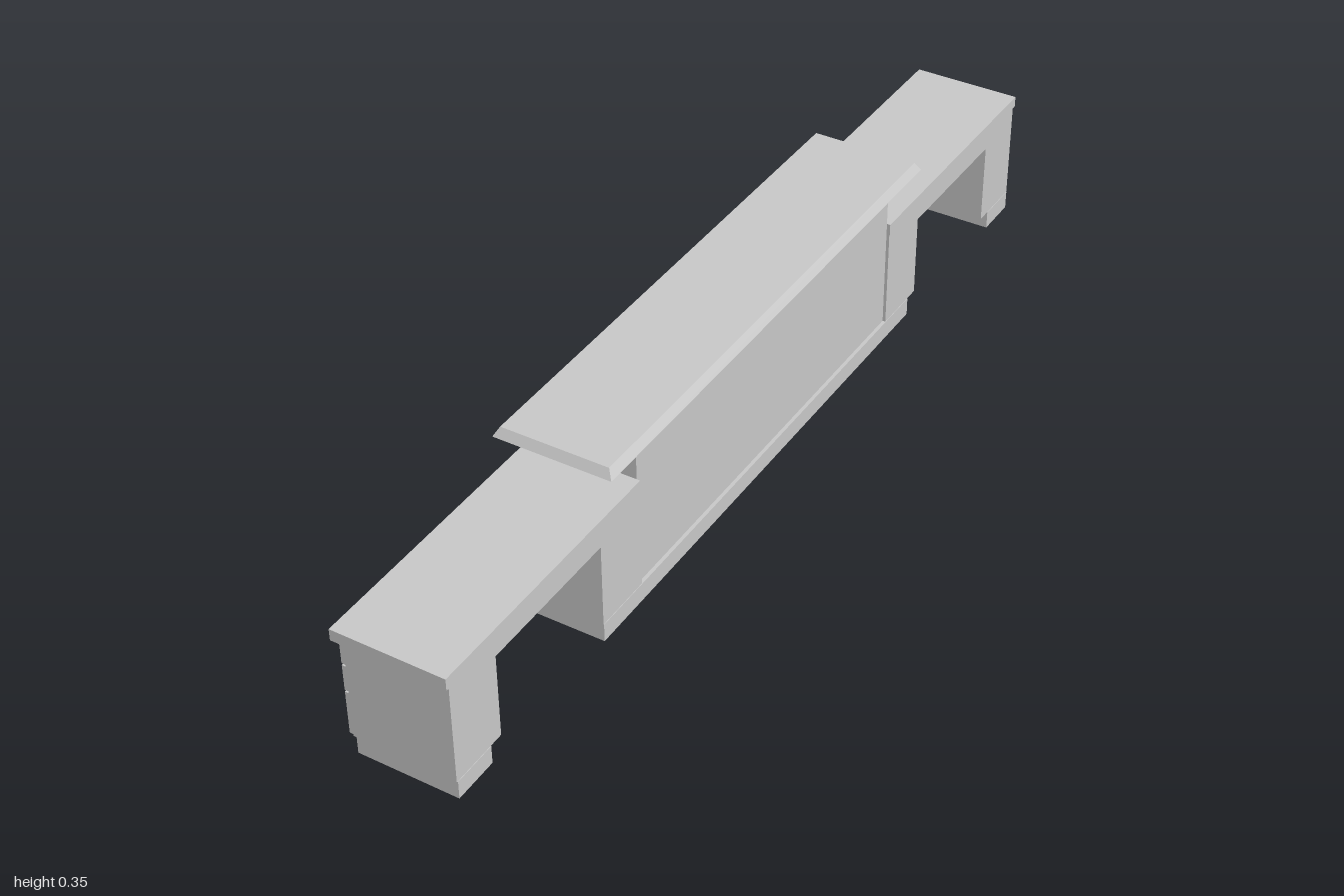
import * as THREE from 'three';

const grey = new THREE.MeshStandardMaterial({ color: 0xcccccc, flatShading: true });

export function createModel() {
  const root = new THREE.Group();

  // box given by its limits on each axis
  function box(name, x0, x1, y0, y1, z0, z1, parent = root) {
    const mesh = new THREE.Mesh(new THREE.BoxGeometry(x1 - x0, y1 - y0, Math.abs(z1 - z0)), grey);
    mesh.position.set((x0 + x1) / 2, (y0 + y1) / 2, (z0 + z1) / 2);
    mesh.name = name;
    parent.add(mesh);
  }

  const kickTop = 0.037, deskTop = 0.263, slabBottom = 0.24, barBottom = 0.335, barTop = 0.353;
  const faceX = -0.107, caseX = -0.097, backX = 0.104;

  // three stacked drawers with small pulls
  function drawerStack(z0, z1) {
    const group = new THREE.Group();
    group.name = 'drawerStack';
    const lo = Math.min(z0, z1) + 0.003, hi = Math.max(z0, z1) - 0.003, mid = (lo + hi) / 2;
    [[kickTop, 0.127], [0.131, 0.184], [0.188, slabBottom]].forEach(([a, b]) => {
      box('drawerFront', faceX, caseX, a, b, lo, hi, group);
      const y = b - 0.021;
      box('drawerPull', -0.1125, faceX, y - 0.004, y + 0.004, mid - 0.009, mid + 0.009, group);
    });
    root.add(group);
  }

  // desk wing at each end: slab, apron, outer pedestal and inner drawer cabinet
  for (const s of [1, -1]) {
    box('deskSlab', -0.116, 0.105, slabBottom, deskTop, s * 0.447, s);
    box('kneeApron', caseX, backX, 0.207, slabBottom, s * 0.569, s * 0.871);
    box('pedestal', caseX, backX, kickTop, slabBottom, s * 0.871, s * 0.993);
    box('pedestalPlinth', -0.093, 0.105, 0, kickTop, s * 0.9, s * 0.991);
    drawerStack(s * 0.871, s * 0.993);
    box('innerCabinet', caseX, backX, kickTop, slabBottom, s * 0.447, s * 0.569);
    drawerStack(s * 0.447, s * 0.569);
  }

  // tall central cabinet on its plinth
  box('centrePlinth', -0.093, 0.105, 0, kickTop, -0.539, 0.569);
  box('tallCabinet', caseX, 0.098, kickTop, barBottom, -0.447, 0.447);

  // four pairs of doors between upright dividers
  const bay = 0.894 / 4;
  for (let i = 0; i <= 4; i++) {
    const z = THREE.MathUtils.clamp(-0.447 + i * bay, -0.441, 0.441);
    box('divider', -0.118, caseX, kickTop, barBottom, z - 0.006, z + 0.006);
  }
  for (let i = 0; i < 4; i++) {
    const mid = -0.447 + (i + 0.5) * bay;
    for (const s of [1, -1]) {
      box('door', faceX, caseX, kickTop, barBottom, mid + s * 0.004, mid + s * 0.099);
      box('doorPull', -0.1125, faceX, 0.29, 0.298, mid + s * 0.01, mid + s * 0.018);
    }
  }

  // raised top with sloping edges: a box whose upper corners are drawn inward
  const top = new THREE.BoxGeometry(0.233, barTop - barBottom, 1.096);
  const p = top.attributes.position;
  for (let i = 0; i < p.count; i++) {
    if (p.getY(i) > 0) {
      p.setX(i, p.getX(i) - Math.sign(p.getX(i)) * 0.01);
      p.setZ(i, p.getZ(i) - Math.sign(p.getZ(i)) * 0.01);
    }
  }
  top.computeVertexNormals();
  const raisedTop = new THREE.Mesh(top, grey);
  raisedTop.name = 'raisedTop';
  raisedTop.position.set(-0.0015, (barBottom + barTop) / 2, 0);
  root.add(raisedTop);

  return root;
}
